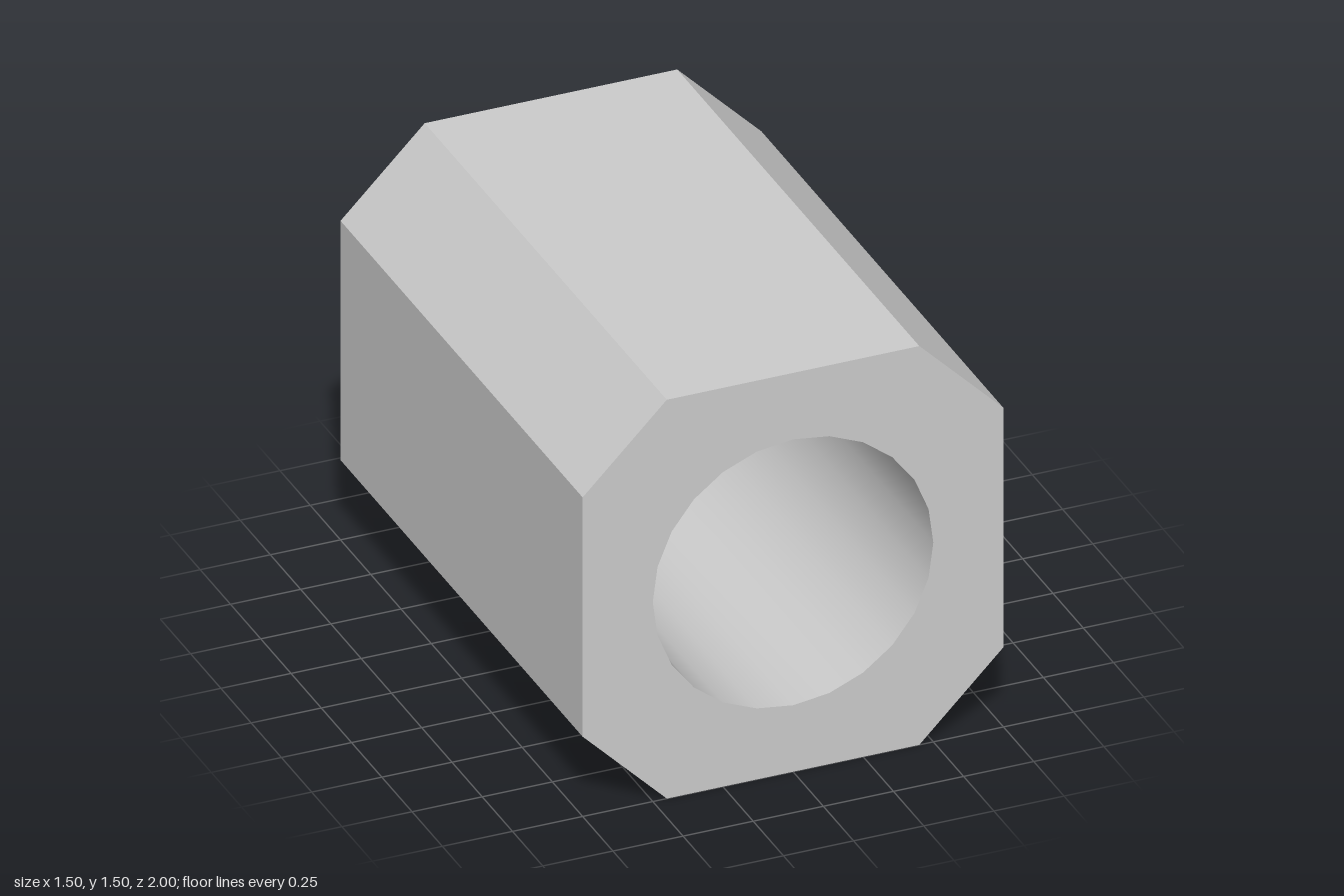
import * as THREE from 'three';
import { toCreasedNormals } from 'three/addons/utils/BufferGeometryUtils.js';

const HALF = 0.75;    // half width of the block
const FLAT = 0.45;    // half width of each main flat, leaving 0.3 chamfers
const BORE = 0.5;     // bore radius
const SIDES = 24;     // bore facets
const LENGTH = 2;

export function createModel() {
  const group = new THREE.Group();
  group.name = 'octagonalSleeve';

  // Chamfered square outline, counter-clockwise
  const outline = [];
  for (let i = 0; i < 4; i++) {
    for (const side of [-FLAT, FLAT]) {
      outline.push(new THREE.Vector2(HALF, side).rotateAround(new THREE.Vector2(), i * Math.PI / 2));
    }
  }
  const shape = new THREE.Shape(outline);

  // Round through-hole
  const bore = [];
  for (let i = 0; i < SIDES; i++) {
    const a = -i / SIDES * Math.PI * 2;
    bore.push(new THREE.Vector2(Math.cos(a) * BORE, Math.sin(a) * BORE));
  }
  shape.holes.push(new THREE.Path(bore));

  // Smooth bore, sharp outer edges
  const extruded = new THREE.ExtrudeGeometry(shape, { depth: LENGTH, bevelEnabled: false });
  extruded.translate(0, HALF, -LENGTH / 2);
  const sleeve = new THREE.Mesh(
    toCreasedNormals(extruded, 0.5),
    new THREE.MeshStandardMaterial({ color: 0xcccccc })
  );
  sleeve.name = 'sleeveBody';
  group.add(sleeve);

  return group;
}
